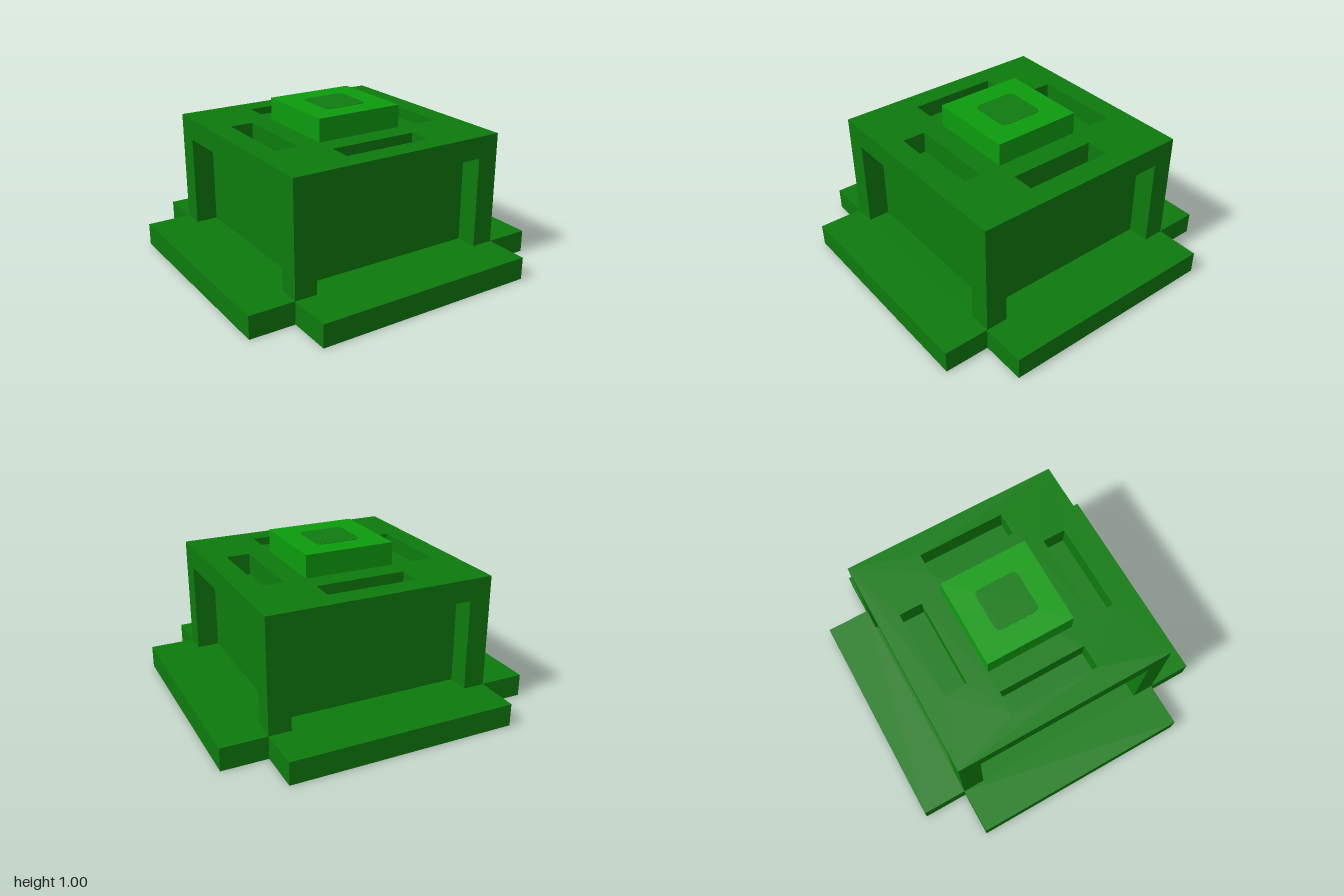
import * as THREE from 'three';

const ARM = 1, BODY = 0.714, CORE = 0.575, CAP = 0.286;
const BASE_TOP = 0.143, LINTEL = 0.72, BODY_TOP = 0.857, TOP = 1;

const paint = (name, color) => Object.assign(new THREE.MeshStandardMaterial({ color }), { name });

// Closed outline from a list of [x, y] corners
const outline = (pts, Type = THREE.Shape) => new Type(pts.map(([x, y]) => new THREE.Vector2(x, y)));
const rect = (x0, y0, x1, y1) => [[x0, y0], [x1, y0], [x1, y1], [x0, y1]];

export function createModel() {
  const green = paint('green', 0x0d7a0d);
  const brightGreen = paint('brightGreen', 0x0d9b0d);
  const patchGreen = paint('patchGreen', 0x107c10);
  const model = new THREE.Group();
  model.name = 'block';

  const add = (name, geometry, material) => {
    const mesh = new THREE.Mesh(geometry, material);
    mesh.name = name;
    model.add(mesh);
    return mesh;
  };
  // Horizontal slab of a shape between two heights
  const slab = (name, shape, y0, y1, material) => {
    const g = new THREE.ExtrudeGeometry(shape, { depth: y1 - y0, bevelEnabled: false, curveSegments: 6 });
    return add(name, g.rotateX(-Math.PI / 2).translate(0, y0, 0), material);
  };
  const box = (name, half, y0, y1, material, x = 0, z = 0) =>
    add(name, new THREE.BoxGeometry(2 * half, y1 - y0, 2 * half), material).position.set(x, (y0 + y1) / 2, z);

  // Cross-shaped base plate
  const cross = outline([
    [ARM, -BODY], [ARM, BODY], [BODY, BODY], [BODY, ARM], [-BODY, ARM], [-BODY, BODY],
    [-ARM, BODY], [-ARM, -BODY], [-BODY, -BODY], [-BODY, -ARM], [BODY, -ARM], [BODY, -BODY],
  ]);
  slab('basePlate', cross, 0, BASE_TOP, green);

  // Inner core forms the backs of the side recesses and the slot floors
  box('core', CORE, BASE_TOP, LINTEL, green);

  // Corner posts frame the recesses
  const mid = (BODY + CORE) / 2;
  for (const x of [-mid, mid])
    for (const z of [-mid, mid]) box('cornerPost', (BODY - CORE) / 2, BASE_TOP, LINTEL, green, x, z);

  // Roof with a slot along each side
  const roof = outline(rect(-BODY, -BODY, BODY, BODY));
  const near = 0.426, far = CORE;
  for (const r of [
    rect(-CAP, near, CAP, far), rect(-CAP, -far, CAP, -near),
    rect(near, -CAP, far, CAP), rect(-far, -CAP, -near, CAP),
  ]) roof.holes.push(outline(r, THREE.Path));
  slab('roof', roof, LINTEL, BODY_TOP, green);

  // Raised cap with a rounded darker patch
  box('cap', CAP, BODY_TOP, TOP, brightGreen);
  const h = 0.143, r = 0.035;
  const patch = new THREE.Shape();
  patch.absarc(h - r, h - r, r, 0, Math.PI / 2);
  patch.absarc(r - h, h - r, r, Math.PI / 2, Math.PI);
  patch.absarc(r - h, r - h, r, Math.PI, Math.PI * 1.5);
  patch.absarc(h - r, r - h, r, Math.PI * 1.5, Math.PI * 2);
  slab('capPatch', patch, TOP, TOP + 0.002, patchGreen);

  return model;
}
